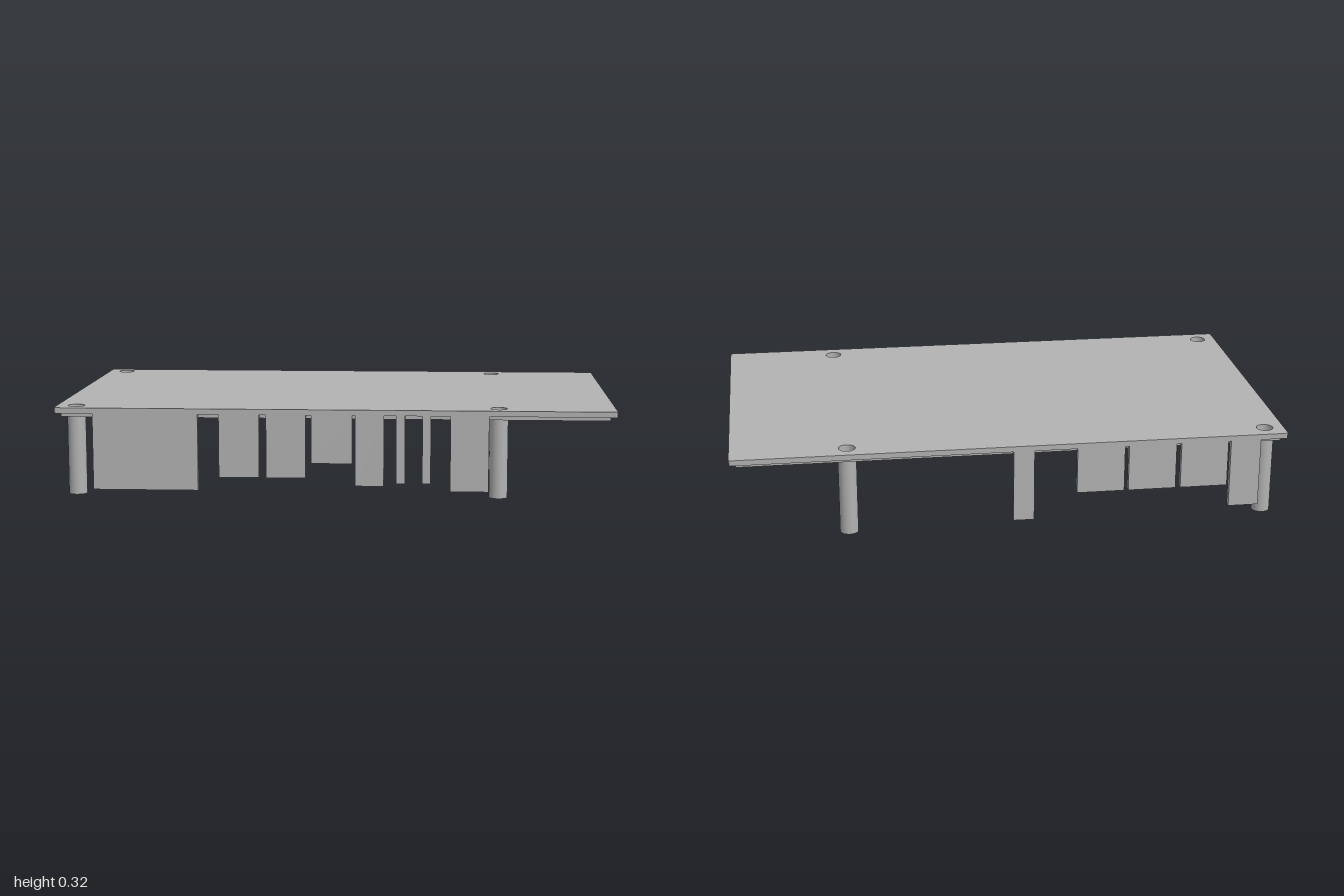
import * as THREE from 'three';

export function createModel() {
  const model = new THREE.Group();
  model.name = 'coverPlate';
  const grey = new THREE.MeshStandardMaterial({ color: 0xb2b2b2 });
  grey.name = 'plain grey';

  const TOP = 0.32, UNDER = 0.3, W = 1, D = 0.575;
  const postSpots = [];
  for (const x of [-0.93, 0.586]) for (const z of [-0.508, 0.508]) postSpots.push([x, z]);

  const add = (geometry, name) => {
    const mesh = new THREE.Mesh(geometry, grey);
    mesh.name = name;
    model.add(mesh);
    return mesh;
  };
  // box given by its limits
  const block = (name, x0, x1, y0, y1, z0, z1) =>
    add(new THREE.BoxGeometry(x1 - x0, y1 - y0, z1 - z0), name)
      .position.set((x0 + x1) / 2, (y0 + y1) / 2, (z0 + z1) / 2);

  // top plate with slightly rounded corners and screw holes
  const r = 0.01;
  const outline = new THREE.Shape();
  outline.absarc(W - r, D - r, r, 0, Math.PI / 2);
  outline.absarc(-W + r, D - r, r, Math.PI / 2, Math.PI);
  outline.absarc(-W + r, -D + r, r, Math.PI, Math.PI * 1.5);
  outline.absarc(W - r, -D + r, r, Math.PI * 1.5, Math.PI * 2);
  for (const [x, z] of postSpots) {
    const hole = new THREE.Path();
    hole.absarc(x, -z, 0.03, 0, Math.PI * 2, true);
    outline.holes.push(hole);
  }
  const plate = new THREE.ExtrudeGeometry(outline, { depth: TOP - UNDER, bevelEnabled: false, curveSegments: 16 });
  plate.rotateX(-Math.PI / 2);
  add(plate, 'topPlate').position.y = UNDER;

  // hollow posts with a counterbore under each screw hole
  const rings = [[0.016, 0], [0.033, 0], [0.033, UNDER], [0.03, UNDER], [0.03, 0.28], [0.016, 0.28], [0.016, 0]];
  for (const [x, z] of postSpots) {
    const post = new THREE.Group();
    post.name = 'post';
    post.position.set(x, 0, z);
    for (let i = 0; i < rings.length - 1; i++) {
      const wall = new THREE.LatheGeometry(
        [new THREE.Vector2(...rings[i]), new THREE.Vector2(...rings[i + 1])], 32);
      const mesh = new THREE.Mesh(wall, grey);
      mesh.name = 'postWall';
      post.add(mesh);
    }
    model.add(post);
  }

  // locating lip below the plate, open in the middle of the left end
  const lx = 0.977, lz = 0.553, t = 0.02, ly = 0.285;
  block('frontLip', -lx, lx, ly, UNDER, lz - t, lz);
  block('backLip', -lx, lx, ly, UNDER, -lz, -lz + t);
  block('rightLip', -lx, -lx + t, ly, UNDER, -lz + t, lz - t);
  block('leftLipFront', lx - t, lx, ly, UNDER, 0.2, lz - t);
  block('leftLipBack', lx - t, lx, ly, UNDER, -lz + t, -0.18);

  // hanging tabs: x from, x to, bottom
  const frontTabs = [
    [-0.861, -0.484, 0.026], [-0.409, -0.265, 0.074], [-0.24, -0.099, 0.074],
    [-0.079, 0.067, 0.127], [0.077, 0.179, 0.047], [0.222, 0.254, 0.057],
    [0.315, 0.345, 0.057], [0.414, 0.55, 0.03],
  ];
  const backTabs = [
    [-0.9, -0.79, 0.047], [-0.78, -0.608, 0.13], [-0.59, -0.417, 0.13],
    [-0.402, -0.23, 0.13], [-0.075, 0, 0.035],
  ];
  for (const [a, b, y] of frontTabs) block('frontTab', a, b, y, UNDER, lz, D);
  for (const [a, b, y] of backTabs) block('backTab', a, b, y, UNDER, -D, -lz);

  return model;
}
